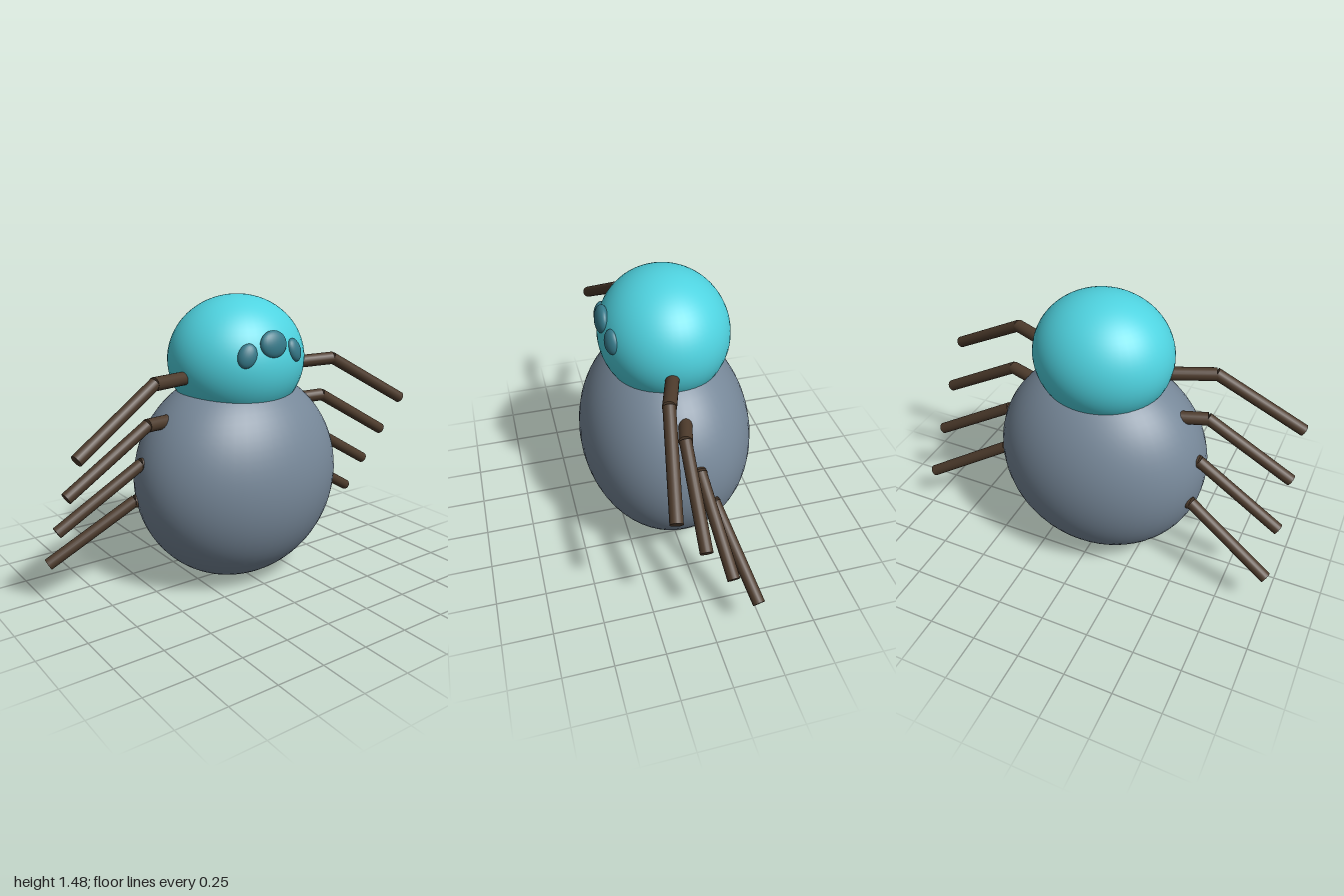
import * as THREE from 'three';

const paint = (color) => new THREE.MeshStandardMaterial({ color });

// Sphere stretched to three radii
function ellipsoid(name, material, radii, position, segments = 48) {
  const geometry = new THREE.SphereGeometry(1, segments, segments * 0.75);
  geometry.scale(...radii);
  const mesh = new THREE.Mesh(geometry, material);
  mesh.name = name;
  mesh.position.set(...position);
  return mesh;
}

// Flat-ended cylinder between two points
function rod(name, material, from, to, radius) {
  const a = new THREE.Vector3(...from);
  const b = new THREE.Vector3(...to);
  const dir = b.clone().sub(a);
  const mesh = new THREE.Mesh(new THREE.CylinderGeometry(radius, radius, dir.length(), 20), material);
  mesh.name = name;
  mesh.position.copy(a).add(b).multiplyScalar(0.5);
  mesh.quaternion.setFromUnitVectors(new THREE.Vector3(0, 1, 0), dir.normalize());
  return mesh;
}

export function createModel() {
  const model = new THREE.Group();
  model.name = 'spider';
  const bodyMat = paint(0x778899);
  const headMat = paint(0x4fd3e0);
  const eyeMat = paint(0x367a8a);
  const legMat = paint(0x4d3b2c);

  // Abdomen and head
  model.add(ellipsoid('abdomen', bodyMat, [0.56, 0.552, 0.443], [0, 0.557, 0]));
  model.add(ellipsoid('head', headMat, [0.355, 0.32, 0.325], [0, 1.16, 0]));

  // Three flattened eyes lying on the face
  const middleEye = ellipsoid('middleEye', eyeMat, [0.075, 0.066, 0.033], [0, 1.272, 0.302], 24);
  middleEye.rotation.x = -0.15;
  model.add(middleEye);
  for (const side of [1, -1]) {
    const eye = ellipsoid(side > 0 ? 'leftEye' : 'rightEye', eyeMat,
      [0.046, 0.06, 0.028], [side * 0.14, 1.228, 0.285], 24);
    eye.rotation.set(-0.2, side * 0.4, side * 0.4, 'YXZ');
    model.add(eye);
  }

  // Four pairs of legs, spaced down the body and fanned front to back
  for (const side of [1, -1]) {
    for (let i = 0; i < 4; i++) {
      const kneeY = 1.12 - i * 0.215;
      const fan = 1.5 - i;
      const kneeZ = fan * 0.078;
      const tipZ = [0.205, 0.068, -0.068, -0.205][i];
      const rootZ = i < 2 ? kneeZ - 0.1 + i * 0.02 : kneeZ * 0.5;
      const leg = new THREE.Group();
      leg.name = (side > 0 ? 'left' : 'right') + 'Leg' + (i + 1);
      leg.add(
        rod('upperLeg', legMat, [side * 0.25, kneeY - 0.018, rootZ], [side * 0.545, kneeY - 0.003, kneeZ], 0.033),
        rod('lowerLeg', legMat, [side * 0.54, kneeY, kneeZ], [side * 0.984, kneeY - 0.264, tipZ], 0.03),
      );
      model.add(leg);
    }
  }
  return model;
}
